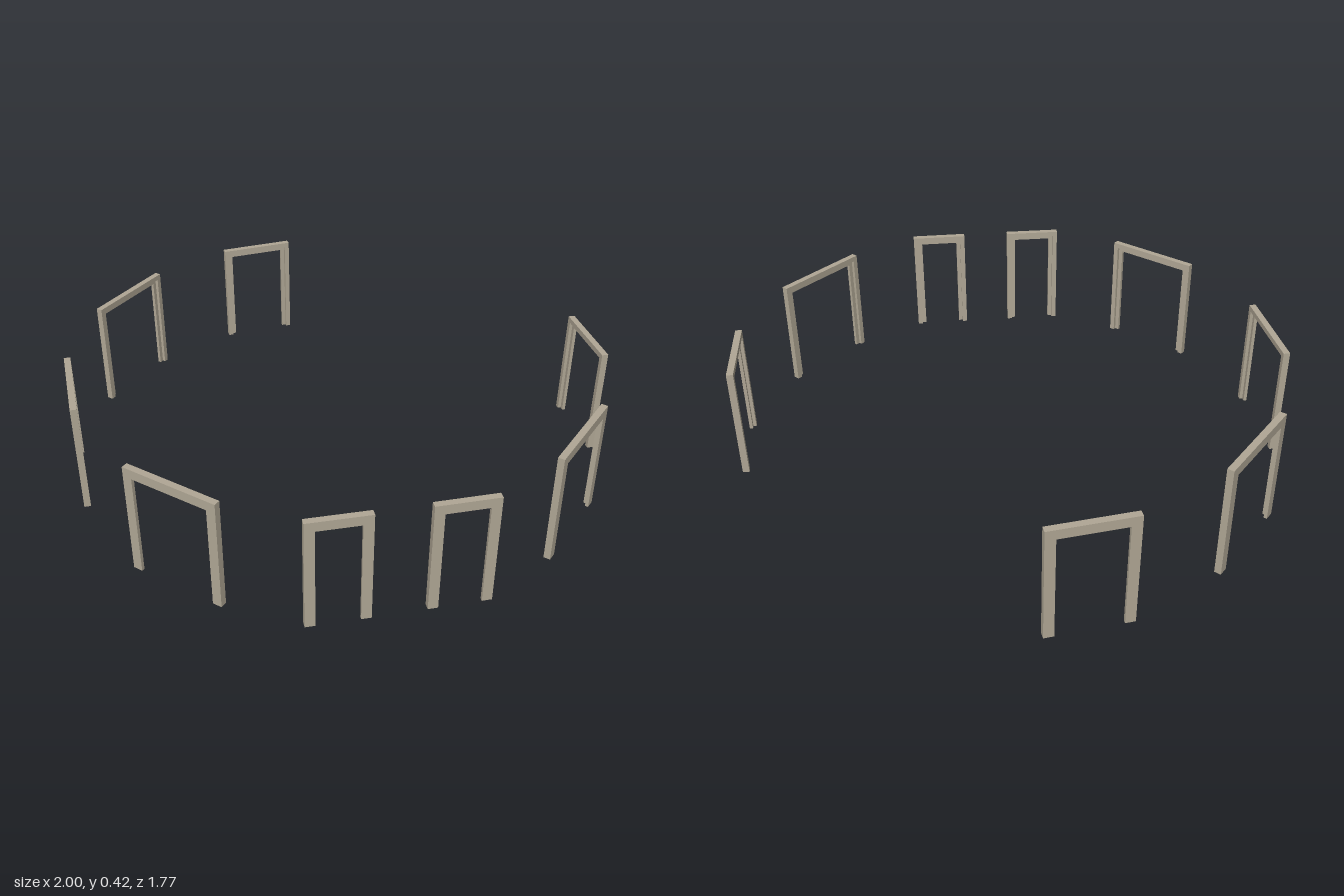
import * as THREE from 'three';

const HEIGHT = 0.418, DEPTH = 0.024;
const FACE = 0.035;   // member width seen from outside
const REBATE = 0.019; // member width behind the rebate, seen from inside

// Plan position of each frame: [x1, z1, x2, z2] along its centre line
const FRAMES = [
  [-0.262, 0.848, 0.103, 0.873],
  [0.374, 0.829, 0.542, 0.69],
  [0.684, 0.571, 0.85, 0.43],
  [0.951, 0.162, 0.985, -0.216],
  [0.892, -0.552, 0.69, -0.79],
  [-0.646, -0.876, -0.845, -0.659],
  [-0.972, -0.334, -0.988, 0.044],
  [-0.856, 0.403, -0.609, 0.672],
];

// Upside-down U: two legs and a lintel with the given member width
function portal(length, member, depth) {
  const h = length / 2, i = h - member;
  const shape = new THREE.Shape([
    [-h, 0], [-i, 0], [-i, HEIGHT - member], [i, HEIGHT - member],
    [i, 0], [h, 0], [h, HEIGHT], [-h, HEIGHT],
  ].map(([x, y]) => new THREE.Vector2(x, y)));
  return new THREE.ExtrudeGeometry(shape, { depth, bevelEnabled: false });
}

export function createModel() {
  const model = new THREE.Group();
  model.name = 'doorFrames';
  const paint = new THREE.MeshStandardMaterial({ color: 0xb0a795 });
  paint.name = 'warmGrey';

  FRAMES.forEach(([x1, z1, x2, z2], n) => {
    const dx = x2 - x1, dz = z2 - z1, length = Math.hypot(dx, dz);
    const frame = new THREE.Group();
    frame.name = `doorFrame${n + 1}`;

    // Outer half: full width, forms the door stop
    const stop = new THREE.Mesh(portal(length, FACE, DEPTH / 2), paint);
    stop.name = 'doorStop';

    // Inner half: narrower, leaves the rebate facing the ring's centre
    const jamb = new THREE.Mesh(portal(length, REBATE, DEPTH / 2), paint);
    jamb.name = 'rebatedJamb';
    jamb.position.z = -DEPTH / 2;

    frame.add(stop, jamb);
    frame.position.set((x1 + x2) / 2, 0, (z1 + z2) / 2);
    frame.rotation.y = Math.atan2(-dz, dx); // local +z points out of the ring
    model.add(frame);
  });
  return model;
}
